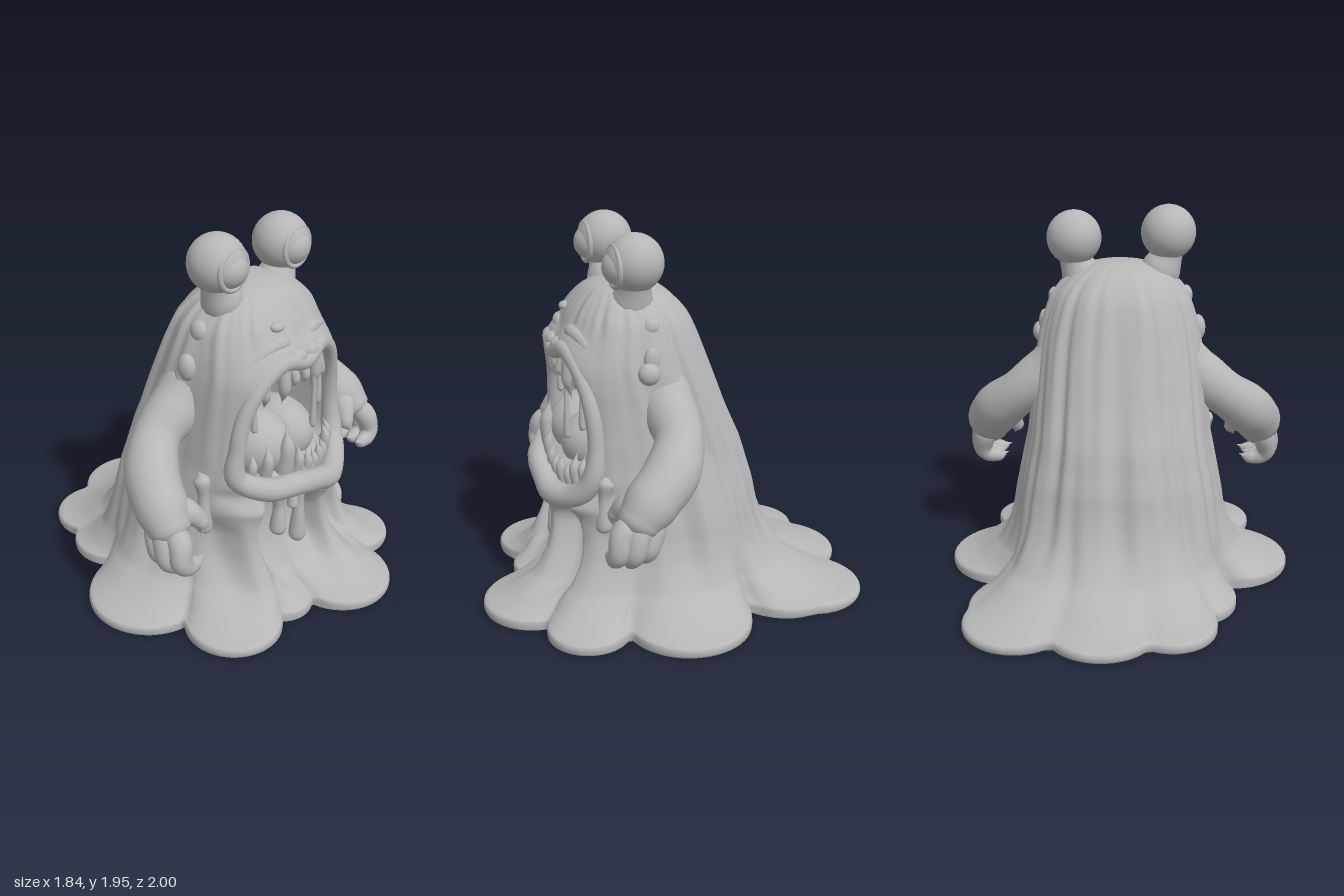
import * as THREE from 'three';
import { mergeVertices } from 'three/addons/utils/BufferGeometryUtils.js';

const slime = new THREE.MeshStandardMaterial({ color: 0xb6b6b6 });
slime.name = 'slime grey';
const V = (p) => new THREE.Vector3(...p);

function add(parent, name, geometry, pos = [0, 0, 0], scale = [1, 1, 1]) {
  const m = new THREE.Mesh(geometry, slime);
  m.name = name;
  m.position.set(...pos);
  m.scale.set(...scale);
  parent.add(m);
  return m;
}
const ball = (parent, name, pos, scale) => add(parent, name, new THREE.SphereGeometry(1, 32, 20), pos, scale);

// Tube whose radius follows a list, eased from point to point
function sweep(points, radii, closed = false, seg = 32, sides = 14) {
  const curve = new THREE.CatmullRomCurve3(points.map(V), closed, 'catmullrom');
  const g = new THREE.TubeGeometry(curve, seg, 1, sides, closed);
  const pos = g.attributes.position, v = new THREE.Vector3();
  for (let i = 0; i <= seg; i++) {
    const c = curve.getPointAt(i / seg);
    const f = curve.getUtoTmapping(i / seg) * (radii.length - 1);
    const k = Math.min(Math.floor(f), radii.length - 2);
    const r = THREE.MathUtils.lerp(radii[k], radii[k + 1], THREE.MathUtils.smoothstep(f - k, 0, 1));
    for (let j = 0; j <= sides; j++) {
      const n = i * (sides + 1) + j;
      v.fromBufferAttribute(pos, n).sub(c).multiplyScalar(r).add(c);
      pos.setXYZ(n, v.x, v.y, v.z);
    }
  }
  g.deleteAttribute('uv');
  g.deleteAttribute('normal');
  const out = mergeVertices(g, 1e-5);
  out.computeVertexNormals();
  return out;
}

// Puddle lobes: x, z, radius
const LOBES = [[.07, -.72, .28], [-.27, -.68, .23], [-.38, -.42, .23], [-.6, .05, .32], [-.5, .53, .25],
  [-.2, .6, .17], [.15, .73, .27], [.52, .55, .21], [.6, .06, .32], [.49, -.67, .27], [.47, -.52, .28]];
function puddleRadius(a) {
  let r = .6;
  for (const [x, z, q] of LOBES) {
    const along = x * Math.sin(a) + z * Math.cos(a), off2 = x * x + z * z - along * along;
    if (along > 0 && off2 < q * q) r = Math.max(r, along + Math.sqrt(q * q - off2));
  }
  return r;
}

// Slime columns below the chin: x at the top, x at the foot, bulge
const COLUMNS = [[-.36, -.34, .12], [.11, .17, .13], [.37, .43, .12]];

// Lip centre line, and its radius at each point
const LIP = [[-.40, .80, .46], [-.395, .97, .46], [-.36, 1.12, .47], [-.28, 1.26, .50], [-.15, 1.35, .53],
  [0, 1.315, .555], [.14, 1.355, .53], [.27, 1.27, .50], [.345, 1.12, .47], [.375, .93, .455],
  [.375, .75, .48], [.30, .645, .55], [.16, .62, .62], [.03, .66, .635], [-.12, .705, .625], [-.28, .72, .56]];
const LIP_R = [.055, .042, .04, .04, .045, .04, .045, .04, .04, .042, .055, .06, .065, .06, .06, .06, .055];
const OUTLINE = new THREE.CatmullRomCurve3(LIP.map(V), true, 'catmullrom').getPoints(72);

// Distance from the mouth outline, positive inside
function mouthDepth(x, y) {
  let inside = false, d = 9;
  for (let i = 1; i < OUTLINE.length; i++) {
    const p = OUTLINE[i - 1], q = OUTLINE[i], ex = q.x - p.x, ey = q.y - p.y;
    if ((p.y > y) !== (q.y > y) && x < p.x + (y - p.y) / ey * ex) inside = !inside;
    const t = THREE.MathUtils.clamp(((x - p.x) * ex + (y - p.y) * ey) / (ex * ex + ey * ey || 1), 0, 1);
    d = Math.min(d, Math.hypot(x - p.x - t * ex, y - p.y - t * ey));
  }
  return inside ? d : -d;
}

// Body rows: height, spread toward the puddle, half width, front z, back z
const ROWS = [[0, .985, .56, .55, -.56], [.012, 1, .56, .55, -.56], [.035, 1, .56, .55, -.56],
  [.052, .96, .56, .55, -.56], [.07, .8, .56, .55, -.56], [.1, .6, .56, .54, -.55], [.15, .38, .56, .53, -.54],
  [.2, .23, .555, .52, -.53], [.3, .08, .55, .51, -.52], [.4, .02, .54, .5, -.5], [.5, 0, .53, .5, -.48],
  [.6, 0, .51, .51, -.46], [.7, 0, .49, .53, -.43], [.8, 0, .47, .53, -.4], [.9, 0, .46, .52, -.355],
  [1, 0, .45, .51, -.31], [1.1, 0, .44, .51, -.27], [1.2, 0, .43, .52, -.23], [1.3, 0, .415, .53, -.19],
  [1.4, 0, .39, .52, -.15], [1.5, 0, .35, .48, -.1], [1.58, 0, .28, .42, -.03], [1.63, 0, .2, .36, .04],
  [1.658, 0, .1, .28, .11], [1.665, 0, 0, .2, .2]];

function bodyGeometry(nu = 220, nv = 192) {
  const rise = new THREE.CatmullRomCurve3(ROWS.map((r) => V([r[0], r[1], 0])), false, 'catmullrom');
  const size = new THREE.CatmullRomCurve3(ROWS.map((r) => V(r.slice(2))), false, 'catmullrom');
  const pow = (s, p) => Math.sign(s) * Math.abs(s) ** p;
  const pos = [], index = [], S = THREE.MathUtils.smoothstep;
  for (let j = 0; j <= nv; j++) {
    const { x: y, y: f } = rise.getPoint(j / nv), { x: hw, y: zf, z: zb } = size.getPoint(j / nv);
    // The face is squarer than the crown and the skirt
    const square = .85 - .2 * S(y, .5, .75) * (1 - S(y, 1.25, 1.5));
    for (let i = 0; i < nu; i++) {
      const u = i / nu * Math.PI * 2, a = u - .4 * Math.sin(u), s = Math.sin(a), c = Math.cos(a);
      // Hanging folds, strongest round the back, sides and crown
      const wave = .5 * Math.sin(11 * a + 1 + y) + .5 * Math.sin(19 * a + 2 - y) + .3 * Math.sin(31 * a + 2 * y);
      const where = Math.max(S(-c, -.75, .1), .8 * S(y, 1.4, 1.52)) * S(y, .05, .35) * (1 - .5 * S(y, 1.5, 1.65));
      const fold = 1 + wave * .03 * where;
      const R = puddleRadius(a), mid = (zf + zb) / 2, half = (zf - zb) / 2, p = c > 0 ? square : .85;
      const x = THREE.MathUtils.lerp(hw * pow(s, THREE.MathUtils.lerp(.85, p, S(c, 0, .4))) * fold, R * s, f);
      let z = THREE.MathUtils.lerp(mid + half * pow(c, p) * fold, R * c, f);
      if (c > 0 && y < .7) {
        for (const [top, foot, bulge] of COLUMNS) {
          const w = .055 + .15 * f + .05 * S(y, .45, .6);
          const off = (x - THREE.MathUtils.lerp(foot, top, S(y, .1, .55))) / w;
          z += bulge * Math.exp(-(off ** 4)) * (1 - f) * (1 - S(y, .58, .7)) * S(c, 0, .4);
        }
      }
      // Swelling round the lips, and the mouth cavity pressed into the front
      if (c > 0 && y > .5 && y < 1.55) {
        const d = mouthDepth(x, y);
        z += .035 * (1 - S(Math.abs(d), .02, .13)) * S(c, .1, .4);
        z = THREE.MathUtils.lerp(z, Math.min(z, .12), S(d, .01, .1));
      }
      pos.push(x, y, z);
      if (j < nv) {
        const n = j * nu + i, m = j * nu + (i + 1) % nu;
        index.push(n, m, m + nu, n, m + nu, n + nu);
      }
    }
  }
  const g = new THREE.BufferGeometry();
  g.setAttribute('position', new THREE.Float32BufferAttribute(pos, 3));
  g.setIndex(index);
  g.computeVertexNormals();
  return g;
}

export function createModel() {
  const root = new THREE.Group();
  root.name = 'slimeMonster';
  add(root, 'body', bodyGeometry());

  // Flat underside
  const rim = [];
  for (let i = 0; i < 440; i++) {
    const a = i / 440 * Math.PI * 2, r = puddleRadius(a) * .995;
    rim.push(new THREE.Vector2(r * Math.sin(a), r * Math.cos(a)));
  }
  add(root, 'underside', new THREE.ShapeGeometry(new THREE.Shape(rim)).rotateX(Math.PI / 2));

  // Mouth
  const mouth = new THREE.Group();
  mouth.name = 'mouth';
  root.add(mouth);
  add(mouth, 'lips', sweep(LIP, LIP_R, true, 120, 16));
  ball(mouth, 'lowerGum', [0, .7, .36], [.33, .1, .24]);
  ball(mouth, 'tongueRight', [-.14, .86, .34], [.18, .18, .22]);
  ball(mouth, 'tongueLeft', [.07, .84, .34], [.16, .17, .21]);
  ball(mouth, 'throat', [0, 1.12, .12], [.27, .17, .1]);

  // Teeth: x, root height, length, thickness
  const upper = [[-.28, 1.2, .1, .025], [-.22, 1.28, .17, .032], [-.12, 1.31, .2, .04], [-.05, 1.28, .1, .028],
    [.03, 1.27, .1, .028], [.13, 1.32, .23, .042], [.2, 1.27, .13, .028], [.25, 1.21, .13, .026]];
  const lower = [[-.31, .77, .13, .03], [-.24, .77, .16, .035], [-.14, .76, .25, .048], [-.06, .72, .16, .033],
    [.01, .69, .14, .03], [.07, .67, .13, .028], [.13, .66, .15, .032], [.19, .66, .13, .028],
    [.24, .68, .17, .034], [.29, .7, .15, .03]];
  for (const [list, dir, z0] of [[upper, -1, .52], [lower, 1, .57]]) {
    for (const [x, y, len, r] of list) {
      const z = z0 - x * x;
      add(mouth, dir < 0 ? 'upperTooth' : 'lowerTooth', sweep([[x, y, z], [x * 1.02, y + dir * len * .5, z + .02],
        [x * .97, y + dir * len, z]], [r, r * .8, .001], false, 12, 10));
    }
  }

  // Saliva strands and slime drips: each ends in a heavy drop
  const drip = (name, x, top, bottom, z, r) => add(root, name, sweep(
    [[x, top, z - .02], [x, top - .04, z], [x, top * .6 + bottom * .4, z + .01], [x, bottom + r, z + .01], [x, bottom, z]],
    [.001, r, r * .65, r, .001], false, 32, 12));
  drip('salivaStrand', .12, 1.27, .89, .52, .018);
  drip('salivaStrand', .23, 1.24, .96, .47, .02);
  drip('salivaStrand', -.27, 1.2, 1.0, .45, .018);
  drip('chinDrip', -.2, .7, .41, .56, .045);
  drip('chinDrip', -.11, .68, .53, .58, .03);
  drip('chinDrip', -.03, .67, .28, .56, .045);
  drip('cheekDrip', -.47, .8, .45, .3, .045);
  drip('cheekDrip', .41, .78, .47, .42, .046);

  // Eyes on stalks
  for (const [x, y] of [[-.25, 1.805], [.24, 1.775]]) {
    const z = .21, k = Math.sign(x);
    add(root, 'eyeStalk', sweep([[x - k * .1, y - .34, z], [x - k * .04, y - .2, z], [x - k * .005, y - .11, z], [x, y, z]], [.15, .105, .082, .1]));
    ball(root, 'eyeLid', [x, y, z], [.143, .143, .143]);
    ball(root, 'eyeball', [x, y - .015, z + .062], [.098, .094, .098]);
    add(root, 'lidRim', new THREE.TorusGeometry(.097, .014, 12, 40), [x, y - .012, z + .1]);
  }

  // Arms with curled claws; the left one is held a little closer
  for (const s of [-1, 1]) {
    const arm = new THREE.Group(), reach = s > 0 ? .95 : 1;
    arm.name = s > 0 ? 'leftArm' : 'rightArm';
    root.add(arm);
    const limb = (name, pts, radii, seg) => add(arm, name, sweep(pts.map(([x, y, z]) => [x * s * reach, y, z]), radii, false, seg, 20));
    limb('arm', [[.26, 1.18, .1], [.42, 1.07, .09], [.56, .97, .09], [.685, .86, .17], [.755, .76, .29], [.78, .67, .37], [.785, .6, .41]],
      [.17, .135, .12, .135, .13, .105, .001], 48);
    for (const [z, dx, dy] of [[.31, -.01, .015], [.38, .01, .01], [.45, -.01, .015]]) {
      limb('finger', [[.77, .74, .3], [.81 + dx, .65, z - .01], [.83 + dx, .56, z + .02], [.8 + dx, .5 + dy, z + .03], [.74 + dx, .49 + dy, z + .03], [.68 + dx, .51 + dy, z + .03]],
        [.02, .06, .054, .046, .036, .001], 28);
    }
    limb('thumb', [[.74, .78, .29], [.68, .73, .38], [.63, .66, .43], [.645, .6, .45]], [.05, .06, .042, .001], 20);
  }

  // Warts and drooping lumps
  for (const [x, y, z, a, b, c] of [[-.11, 1.505, .46, .042, .025, .035], [.42, 1.275, .2, .045, .055, .055], [.4, 1.33, .18, .03, .07, .04],
    [.34, 1.48, .16, .035, .045, .045], [-.34, 1.48, .18, .04, .055, .05], [-.41, 1.31, .16, .04, .07, .05]]) {
    ball(root, 'wart', [x, y, z], [a, b, c]);
  }

  // Snout wrinkles above the upper lip
  for (const s of [-1, 1]) {
    ball(root, 'nostrilLump', [s * .05, 1.355, .54], [.055, .04, .045]);
    add(root, 'snoutFold', sweep([[s * .02, 1.4, .51], [s * .13, 1.43, .485], [s * .25, 1.38, .445], [s * .34, 1.25, .4]], [.01, .04, .04, .01]));
  }
  return root;
}
